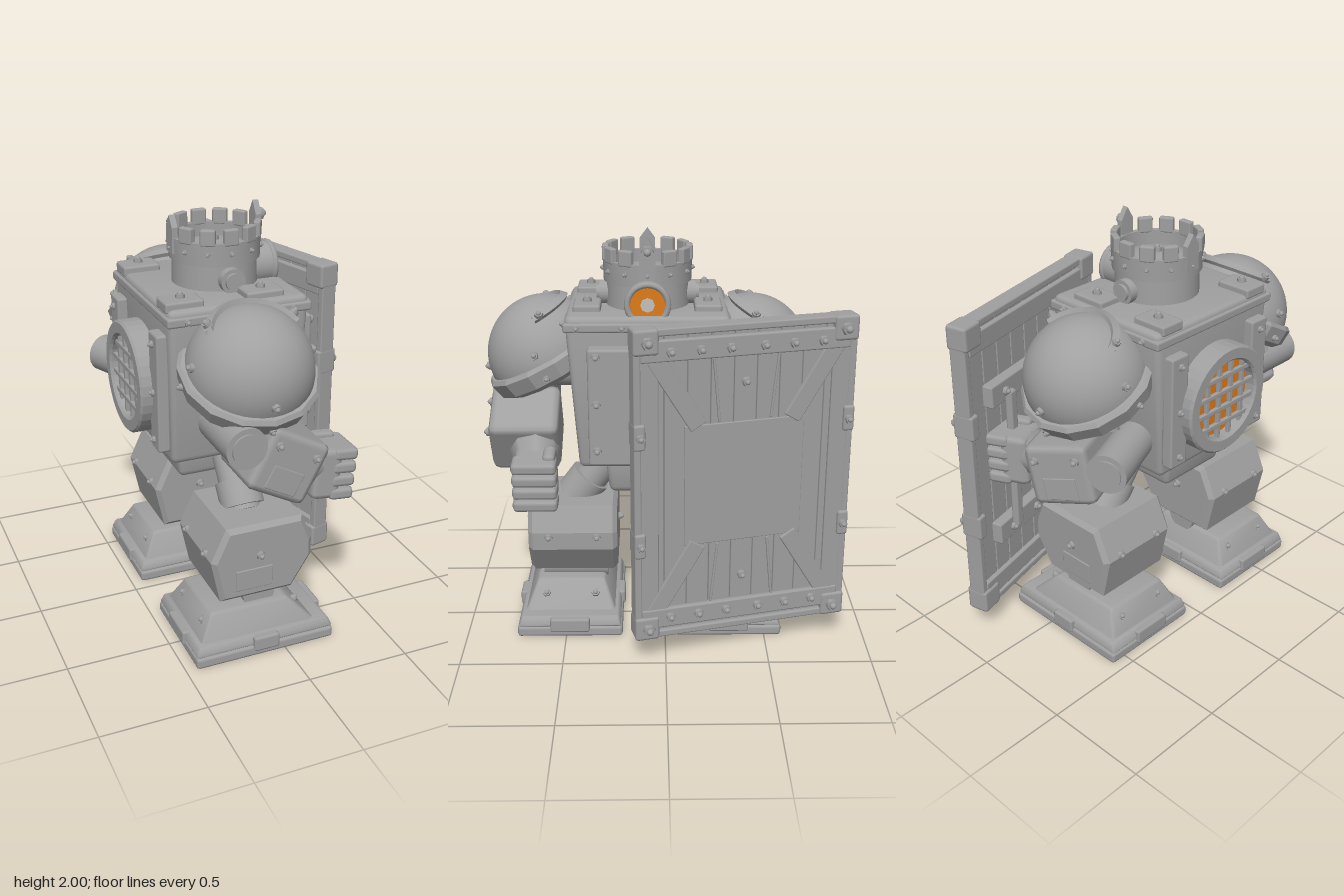
import * as THREE from 'three';
import { RoundedBoxGeometry } from 'three/addons/geometries/RoundedBoxGeometry.js';
import { toCreasedNormals } from 'three/addons/utils/BufferGeometryUtils.js';

const steel = new THREE.MeshStandardMaterial({ color: 0xa0a0a0 });
steel.name = 'steel grey';
const glow = new THREE.MeshStandardMaterial({ color: 0xe07b18 });
glow.name = 'glowing orange';
const pale = new THREE.MeshStandardMaterial({ color: 0xc4c0ba });
pale.name = 'pale lens';

const V = (x, y, z) => new THREE.Vector3(x, y, z);
const UP = V(0, 1, 0);
const MID = 0.08; // middle plane of the body in z

function add(parent, name, geo, x = 0, y = 0, z = 0, mat = steel) {
  const m = new THREE.Mesh(geo, mat);
  m.name = name;
  m.position.set(x, y, z);
  parent.add(m);
  return m;
}
function group(parent, name, x = 0, y = 0, z = 0) {
  const g = new THREE.Group();
  g.name = name;
  g.position.set(x, y, z);
  parent.add(g);
  return g;
}
const box = (p, name, w, h, d, x, y, z, r = 0.012, mat = steel) =>
  add(p, name, new RoundedBoxGeometry(w, h, d, 1, r), x, y, z, mat);
// box whose bottom is scaled relative to its top
function taperBox(p, name, w, h, d, x, y, z, sx, sz, shift = 0, r = 0.03) {
  const g = new RoundedBoxGeometry(w, h, d, 2, r), a = g.attributes.position;
  for (let i = 0; i < a.count; i++) {
    const t = 0.5 - a.getY(i) / h;
    a.setX(i, a.getX(i) * (1 + (sx - 1) * t) + shift * t);
    a.setZ(i, a.getZ(i) * (1 + (sz - 1) * t));
  }
  return add(p, name, toCreasedNormals(g, 0.6), x, y, z);
}
function rod(p, name, a, b, r, sides = 24, r2 = r, mat = steel) {
  const d = b.clone().sub(a), c = a.clone().add(b).multiplyScalar(0.5);
  const m = add(p, name, new THREE.CylinderGeometry(r2, r, d.length(), sides), c.x, c.y, c.z, mat);
  m.quaternion.setFromUnitVectors(UP, d.normalize());
  return m;
}
// hexagonal bolt with a small head, pointing along dir
function bolt(p, x, y, z, dir, s = 1) {
  const b = group(p, 'bolt', x, y, z);
  add(b, 'boltNut', new THREE.CylinderGeometry(0.02 * s, 0.023 * s, 0.024 * s, 6));
  add(b, 'boltTip', new THREE.SphereGeometry(0.013 * s, 8, 6), 0, 0.012 * s);
  b.quaternion.setFromUnitVectors(UP, dir.clone().normalize());
}

function buildBody(root) {
  const g = group(root, 'body', -0.12, 0, MID);
  taperBox(g, 'torso', 0.665, 0.75, 0.77, 0, 1.275, 0, 0.94, 0.86, 0);
  box(g, 'topRim', 0.685, 0.045, 0.785, 0, 1.6, 0);
  taperBox(g, 'pelvis', 0.53, 0.19, 0.42, 0.02, 0.845, 0, 0.92, 0.9);
  for (const s of [-1, 1]) {
    for (const x of [-0.245, 0.135]) {
      box(g, 'topPad', 0.18, 0.05, 0.13, x, 1.655, s * 0.285);
      bolt(g, x, 1.685, s * 0.285, UP);
    }
    for (const x of [-0.25, -0.08, 0.09, 0.25]) bolt(g, x, 1.6, s * 0.393, V(0, 0, s), 0.8);
    for (const z of [0.12, 0.33]) bolt(g, 0.343, 1.6, s * z, V(1, 0, 0), 0.8);
    // back rails beside the grille
    box(g, 'backRail', 0.06, 0.56, 0.11, -0.345, 1.25, s * 0.275);
    for (const y of [1.02, 1.25, 1.48]) {
      bolt(g, -0.378, y, s * 0.275, V(-1, 0, 0), 0.8);
      bolt(g, 0.405, y, s * 0.24, V(1, 0, 0));
    }
  }
  box(g, 'chestPlate', 0.09, 0.57, 0.56, 0.355, 1.23, 0);
  // round furnace grille on the back
  const v = group(g, 'furnaceGrille', -0.37, 1.23, 0);
  v.rotation.y = -Math.PI / 2;
  const ring = new THREE.Shape().absarc(0, 0, 0.255, 0, Math.PI * 2);
  ring.holes.push(new THREE.Path().absarc(0, 0, 0.205, 0, Math.PI * 2, true));
  add(v, 'grilleRing', new THREE.ExtrudeGeometry(ring, {
    depth: 0.09, bevelSize: 0.01, bevelThickness: 0.01, bevelSegments: 1, curveSegments: 18 }), 0, 0, -0.04);
  add(v, 'furnaceGlow', new THREE.CircleGeometry(0.21, 32), 0, 0, 0, glow);
  for (const t of [-0.12, -0.04, 0.04, 0.12]) {
    const l = 2 * Math.sqrt(0.212 ** 2 - t * t);
    box(v, 'grilleBar', 0.024, l, 0.02, t, 0, 0.03, 0.004);
    box(v, 'grilleBar', l, 0.024, 0.02, 0, t, 0.034, 0.004);
  }
}

function buildHead(root) {
  const g = group(root, 'head', -0.09, 0, MID);
  add(g, 'neck', new THREE.CylinderGeometry(0.195, 0.2, 0.17, 32), 0, 1.7, 0);
  add(g, 'skullCap', new THREE.SphereGeometry(0.19, 32, 8, 0, Math.PI * 2, 0, Math.PI / 2), 0, 1.78, 0).scale.y = 0.3;
  bolt(g, 0, 1.845, 0, UP);
  const prof = [[0.19, 1.765], [0.21, 1.765], [0.213, 1.87], [0.185, 1.87], [0.185, 1.765]];
  add(g, 'crownBand', toCreasedNormals(new THREE.LatheGeometry(prof.map(p => new THREE.Vector2(...p)), 32), 0.6));
  const spike = new THREE.Shape([[-0.038, 0], [0.038, 0], [0.038, 0.14], [0, 0.2], [-0.038, 0.14]].map(p => new THREE.Vector2(...p)));
  for (let i = 0; i < 12; i++) {
    const a = i * Math.PI / 6, c = group(g, 'crownPoint', 0, 0, 0);
    c.rotation.y = a;
    if (i % 6 === 0) {
      const h = i ? 0.85 : 1;
      const m = add(c, 'tallPoint', new THREE.ExtrudeGeometry(spike, { depth: 0.028, bevelEnabled: false }), 0.19, 1.8, 0);
      m.rotation.y = Math.PI / 2;
      m.scale.y = h;
      if (!i) bolt(c, 0.222, 1.935, 0, V(1, 0, 0), 1.4);
    } else box(c, 'merlon', 0.034, 0.075, 0.07, 0.198, 1.895, 0, 0.008);
    bolt(c, 0.212, 1.82, 0, V(1, 0, 0), 0.6);
  }
  for (const s of [-1, 1]) {
    rod(g, 'earDrum', V(0, 1.7, s * 0.15), V(0, 1.7, s * 0.23), 0.058, 20);
    rod(g, 'earCap', V(0, 1.7, s * 0.23), V(0, 1.7, s * 0.245), 0.04, 20);
  }
  // single round eye facing forward
  rod(g, 'eyeBarrel', V(0.1, 1.7, 0), V(0.265, 1.7, 0), 0.1, 28);
  const rim = add(g, 'eyeRim', new THREE.TorusGeometry(0.094, 0.015, 8, 28), 0.268, 1.7, 0);
  rim.rotation.y = Math.PI / 2;
  rod(g, 'eyeLens', V(0.264, 1.7, 0), V(0.271, 1.7, 0), 0.085, 28, 0.085, glow);
  rod(g, 'eyePupil', V(0.269, 1.7, 0), V(0.275, 1.7, 0), 0.034, 8, 0.034, pale);
}

function buildShoulder(root, s) {
  const turn = group(root, 'shoulder', -0.13, 1.39, MID + s * 0.5);
  turn.rotation.y = s > 0 ? 0 : Math.PI;
  const g = group(turn, 'shoulderDome');
  g.rotation.x = 0.49;
  add(g, 'dome', new THREE.SphereGeometry(0.287, 40, 16, 0, Math.PI * 2, 0, Math.PI / 2));
  const band = [[0, -0.1], [0.27, -0.1], [0.305, -0.075], [0.322, 0], [0.305, 0.018], [0.27, 0.018]];
  add(g, 'domeRim', toCreasedNormals(new THREE.LatheGeometry(band.map(p => new THREE.Vector2(...p)), 14), 0.2));
  // raised arc over the inner half of the dome
  const arc = [[0.86, 0.28], [0.86, 0.308], [0.74, 0.308], [0.74, 0.28]]
    .map(([a, r]) => new THREE.Vector2(Math.sin(a) * r, Math.cos(a) * r));
  const m = add(g, 'domeRidge', toCreasedNormals(new THREE.LatheGeometry(arc, 24, Math.PI - 1.25, 2.5), 0.5));
  m.material = ridge;
  for (const q of [-1, 1]) {
    const d = V(Math.sin(1.1 * q) * 0.72, 0.69, -Math.cos(1.1) * 0.72);
    bolt(g, d.x * 0.312, d.y * 0.312, d.z * 0.312, d);
  }
  for (const a of [-1.57, 0, 1.57]) {
    const d = V(Math.sin(a), 0.25, Math.cos(a)).normalize();
    bolt(g, d.x * 0.29, d.y * 0.29, d.z * 0.29, d);
    bolt(g, Math.sin(a) * 0.31, -0.05, Math.cos(a) * 0.31, V(Math.sin(a), 0, Math.cos(a)), 0.8);
  }
  rod(turn, 'shoulderAxle', V(0, -0.08, -0.2), V(0, -0.08, 0), 0.09);
  rod(turn, 'upperArm', V(0, 0, 0), V(-0.12 * s, -0.23, 0.05), 0.1);
}
const ridge = steel.clone();
ridge.name = 'steel grey two sided';
ridge.side = THREE.DoubleSide;

function buildArm(root, s, x, y, z, yaw, pitch) {
  const arm = group(root, s > 0 ? 'freeArm' : 'shieldArm', x, y, z);
  arm.rotation.set(0, yaw, pitch);
  box(arm, 'forearm', 0.31, 0.3, 0.34, 0, 0, 0, 0.035);
  box(arm, 'forearmPanel', 0.16, 0.11, 0.015, 0, -0.06, s * 0.168, 0.004);
  bolt(arm, -0.1, 0.08, s * 0.172, V(0, 0, s));
  bolt(arm, 0.1, 0.08, s * 0.172, V(0, 0, s));
  rod(arm, 'elbowDrum', V(-0.24, 0.02, -s * 0.15), V(-0.24, 0.02, s * 0.17), 0.095);
  rod(arm, 'elbowCap', V(-0.24, 0.02, s * 0.17), V(-0.24, 0.02, s * 0.18), 0.07);
  rod(arm, 'wrist', V(0.14, 0, -s * 0.05), V(0.25, 0, -s * 0.06), 0.125, 8, 0.1);
  const hand = group(arm, 'hand', 0.33, 0, -s * 0.065);
  hand.rotation.z = -pitch * 0.8;
  box(hand, 'palm', 0.14, 0.25, 0.2, -0.03, 0, 0, 0.03);
  for (let i = 0; i < 4; i++) box(hand, 'finger', 0.12, 0.058, 0.215, 0.05, 0.098 - i * 0.066, 0, 0.02);
  box(hand, 'thumb', 0.12, 0.06, 0.06, 0, 0.12, -s * 0.07, 0.02);
}

function buildLeg(root, s) {
  const g = group(root, 'leg', 0, 0, MID + s * 0.38);
  rod(g, 'hipJoint', V(-0.1, 0.88, -s * 0.2), V(-0.1, 0.62, 0), 0.085);
  rod(g, 'hipSleeve', V(-0.1, 0.74, -s * 0.085), V(-0.1, 0.64, -s * 0.01), 0.105);
  const pts = [[-0.26, 0.64], [0.09, 0.64], [0.135, 0.53], [0.135, 0.45], [0.045, 0.31], [-0.285, 0.31], [-0.325, 0.5]];
  const shin = new THREE.Shape(pts.reverse().map(p => new THREE.Vector2(...p)));
  add(g, 'shin', new THREE.ExtrudeGeometry(shin, { depth: 0.4, bevelSize: 0.022, bevelThickness: 0.022, bevelSegments: 1 }), 0, 0, -0.2);
  box(g, 'shinPanel', 0.185, 0.105, 0.012, -0.14, 0.39, s * 0.222, 0.004);
  for (const q of [-1, 1]) {
    bolt(g, -0.11, 0.505, q * 0.226, V(0, 0, q));
    bolt(g, 0.158, 0.51, q * 0.12, V(1, 0, 0));
    bolt(g, -0.34, 0.51, q * 0.12, V(-1, 0, 0));
  }
  rod(g, 'ankle', V(-0.09, 0.26, -0.165), V(-0.09, 0.26, 0.165), 0.08);
  // foot
  const f = group(g, 'foot', -0.1, 0, s * 0.02);
  box(f, 'sole', 0.7, 0.055, 0.53, 0, 0.0275, 0, 0.015);
  taperBox(f, 'soleTop', 0.66, 0.05, 0.49, 0, 0.08, 0, 1.06, 1.06, 0, 0.012);
  taperBox(f, 'instep', 0.39, 0.14, 0.34, -0.05, 0.155, 0, 1.54, 1.38, 0.03, 0.015);
  for (const q of [-1, 1]) {
    box(f, 'soleClip', 0.13, 0.075, 0.05, 0, 0.065, q * 0.25);
    box(f, 'soleClip', 0.05, 0.075, 0.2, q * 0.335, 0.065, 0);
    bolt(f, 0.2, 0.17, q * 0.125, V(1, 0.9, 0));
    bolt(f, -0.265, 0.17, q * 0.125, V(-1, 0.6, 0));
  }
}

function buildShield(root) {
  const g = group(root, 'shield', 0.34, 0.903, -0.36);
  g.rotation.y = 0.257;
  for (let i = 0; i < 9; i++) box(g, 'plank', 0.045, 1.5, 0.108, 0, 0, -0.44 + i * 0.11, 0.006);
  box(g, 'centrePanel', 0.012, 0.6, 0.58, 0.024, 0, 0, 0.004);
  for (const s of [-1, 1]) {
    box(g, 'sideRail', 0.085, 1.53, 0.035, 0, 0, s * 0.515, 0.008);
    box(g, 'sideStile', 0.02, 1.25, 0.09, 0.028, 0, s * 0.46, 0.006);
    box(g, 'endRail', 0.085, 0.035, 1.04, 0, s * 0.75, 0, 0.008);
    box(g, 'endBand', 0.09, 0.1, 1.0, 0, s * 0.665, 0, 0.008);
    for (const z of [-0.36, -0.22, -0.08, 0.08, 0.22, 0.36]) bolt(g, 0.052, s * 0.66, z, V(1, 0, 0), 1.1);
    bolt(g, 0.035, s * 0.49, 0, V(1, 0, 0));
    // strap across the inner face
    box(g, 'innerStrap', 0.06, 0.11, 0.8, -0.045, s * 0.375, 0, 0.008);
    for (const z of [-0.3, -0.1, 0.1, 0.3]) bolt(g, -0.08, s * 0.375, z, V(-1, 0, 0));
    for (const q of [-1, 1]) {
      const d = box(g, 'diagonalBrace', 0.024, 0.4, 0.085, 0.028, s * 0.465, q * 0.33, 0.005);
      d.rotation.x = s * q * 0.55;
      const b = box(g, 'innerFrameEdge', 0.02, 0.31, 0.012, 0.022, s * 0.46, q * 0.14, 0.004);
      b.rotation.x = s * q * 0.1;
      box(g, 'cornerBracket', 0.11, 0.12, 0.12, 0, s * 0.71, q * 0.475, 0.015);
      bolt(g, 0.062, s * 0.71, q * 0.47, V(1, 0, 0), 1.4);
      box(g, 'sideClip', 0.11, 0.125, 0.055, 0, s * 0.27, q * 0.507, 0.012);
      bolt(g, 0.06, s * 0.27, q * 0.505, V(1, 0, 0));
    }
  }
  box(g, 'handGrip', 0.04, 0.75, 0.05, -0.09, 0, -0.28, 0.012);
}

export function createModel() {
  const root = new THREE.Group();
  root.name = 'crownedRobot';
  buildBody(root);
  buildHead(root);
  for (const s of [-1, 1]) {
    buildShoulder(root, s);
    buildLeg(root, s);
  }
  buildArm(root, 1, -0.055, 1.02, 0.685, 0, -0.49);
  buildArm(root, -1, -0.16, 1.02, -0.54, 0.4, -0.2);
  buildShield(root);
  return root;
}
